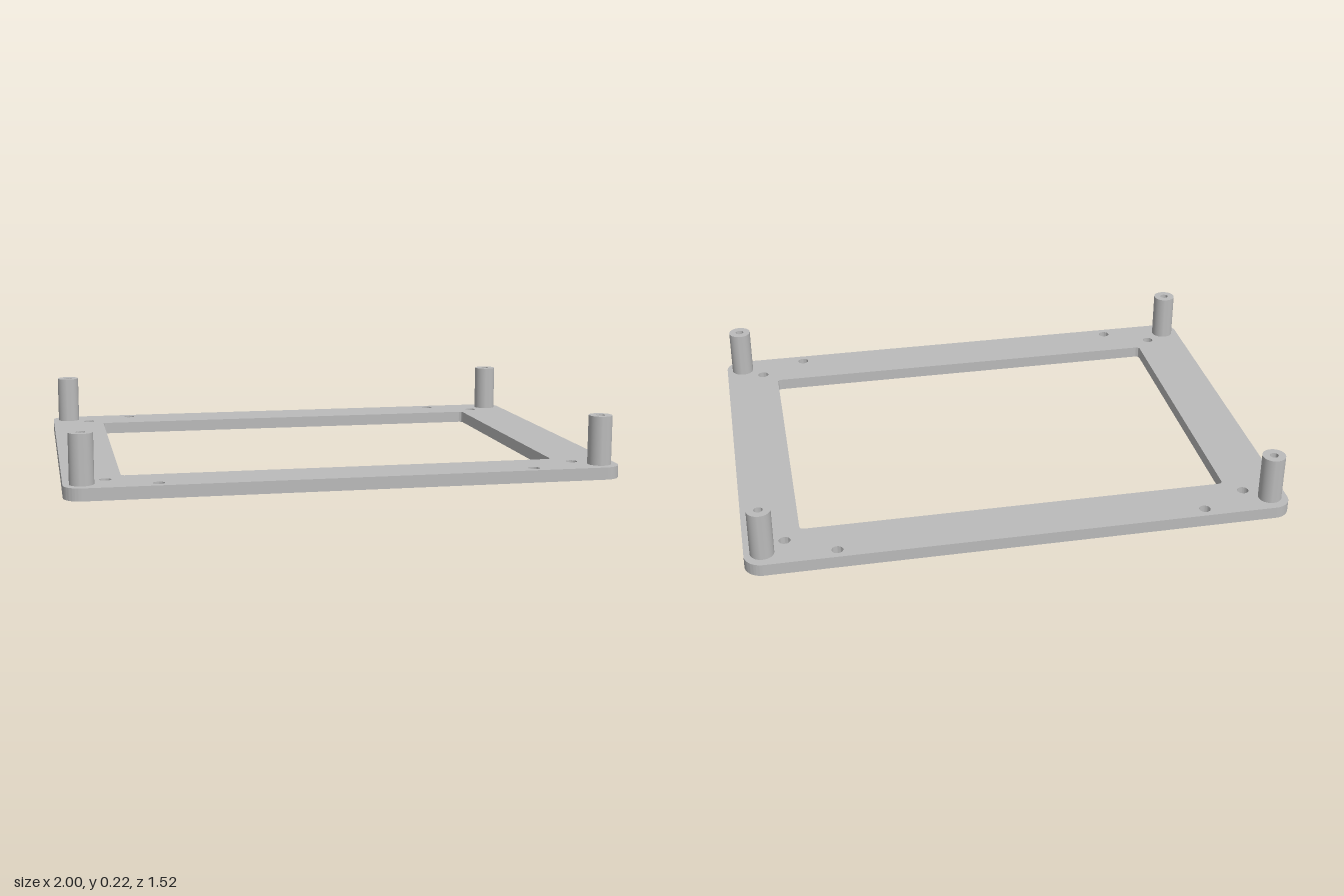
import * as THREE from 'three';
import { toCreasedNormals } from 'three/addons/utils/BufferGeometryUtils.js';

const PLATE_TOP = 0.045;
const POST_TOP = 0.225;

// Rounded rectangle outline, given half sizes and a corner radius
function roundedRect(path, w, d, r) {
  path.moveTo(w, -d + r);
  path.lineTo(w, d - r);
  path.absarc(w - r, d - r, r, 0, Math.PI / 2);
  path.absarc(-w + r, d - r, r, Math.PI / 2, Math.PI);
  path.absarc(-w + r, -d + r, r, Math.PI, Math.PI * 1.5);
  path.absarc(w - r, -d + r, r, Math.PI * 1.5, Math.PI * 2);
  return path;
}

// Calls fn once for each of the four mirrored corners
function eachCorner(fn) {
  for (const sx of [-1, 1]) for (const sz of [-1, 1]) fn(sx, sz);
}

export function createModel() {
  const model = new THREE.Group();
  model.name = 'mountingFrame';
  const grey = new THREE.MeshStandardMaterial({ color: 0xbbbbbb });
  grey.name = 'plainGrey';

  // Flat frame with a large window and two screw holes per corner
  const outline = roundedRect(new THREE.Shape(), 1, 0.76, 0.065);
  outline.holes.push(roundedRect(new THREE.Path(), 0.794, 0.565, 0.015));
  eachCorner((sx, sz) => {
    for (const [x, z] of [[0.674, 0.717], [0.852, 0.625]]) {
      outline.holes.push(new THREE.Path().absarc(sx * x, sz * z, 0.021, 0, Math.PI * 2));
    }
  });
  const plateGeometry = new THREE.ExtrudeGeometry(outline, {
    depth: PLATE_TOP, bevelEnabled: false, curveSegments: 16,
  });
  plateGeometry.rotateX(-Math.PI / 2);
  const plate = new THREE.Mesh(toCreasedNormals(plateGeometry, 0.6), grey);
  plate.name = 'framePlate';
  model.add(plate);

  // Standoff posts with a blind screw hole down the middle
  const profile = [
    [0.043, PLATE_TOP], [0.043, POST_TOP], [0.016, POST_TOP], [0.016, PLATE_TOP], [0, PLATE_TOP],
  ].map(([r, y]) => new THREE.Vector2(r, y));
  const postGeometry = toCreasedNormals(new THREE.LatheGeometry(profile, 40), 0.6);
  eachCorner((sx, sz) => {
    const post = new THREE.Mesh(postGeometry, grey);
    post.name = (sz > 0 ? 'front' : 'back') + (sx > 0 ? 'Left' : 'Right') + 'Standoff';
    post.position.set(sx * 0.935, 0, sz * 0.685);
    model.add(post);
  });

  return model;
}
